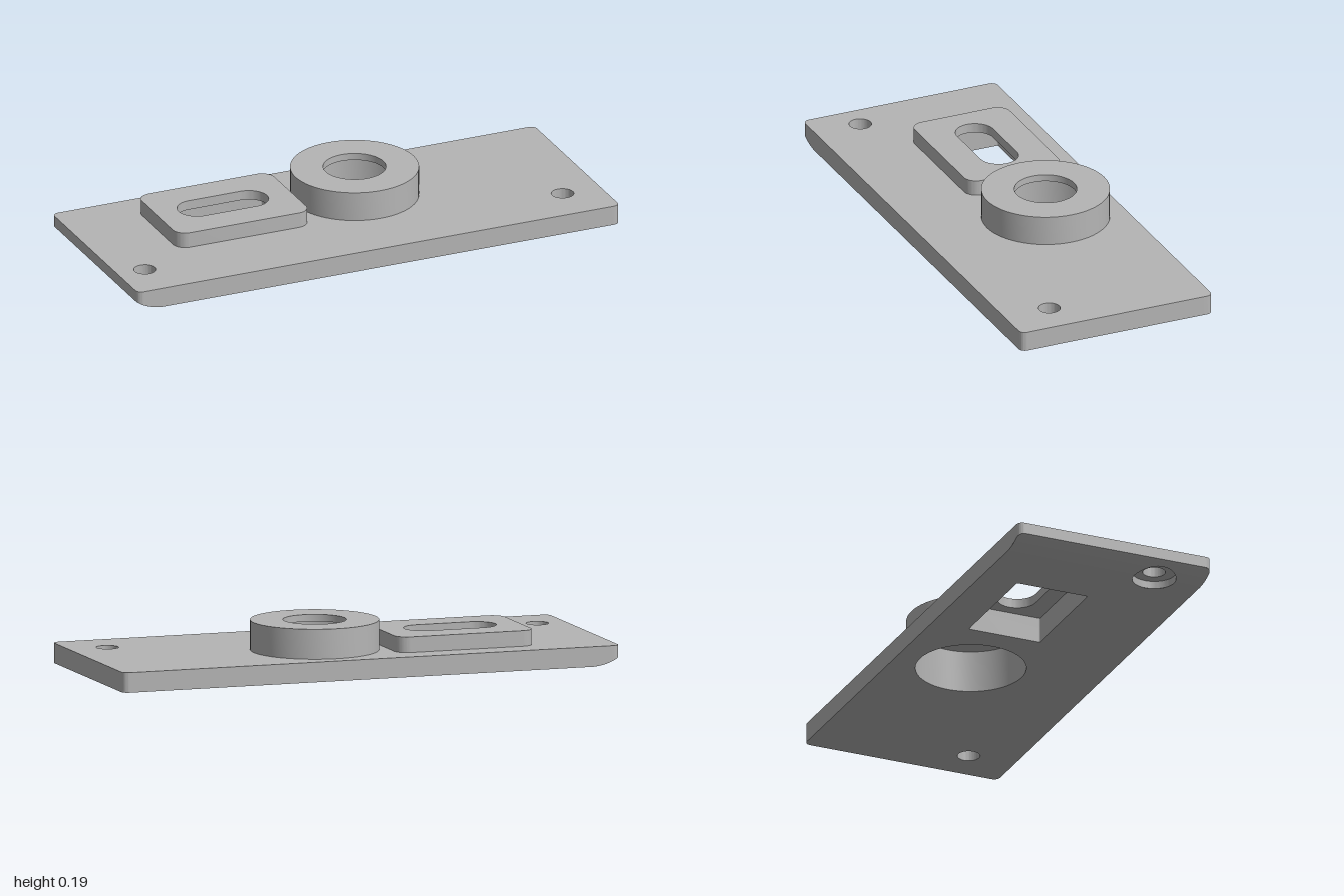
import * as THREE from 'three';
import { toCreasedNormals } from 'three/addons/utils/BufferGeometryUtils.js';

const steel = new THREE.MeshStandardMaterial({ color: 0xb5b5b5, side: THREE.DoubleSide });
steel.name = 'plain grey metal';

// Rounded rectangle in the x/z plane; a full radius gives a slot or a circle
function roundRect(x0, x1, z0, z1, r, n = 16) {
  const centres = [[x1 - r, z1 - r], [x0 + r, z1 - r], [x0 + r, z0 + r], [x1 - r, z0 + r]];
  const pts = [];
  centres.forEach(([cx, cz], k) => {
    for (let i = 0; i <= n; i++) {
      const a = (k + i / n) * Math.PI / 2;
      const p = new THREE.Vector2(cx + r * Math.cos(a), cz + r * Math.sin(a));
      if (!pts.length || p.distanceTo(pts[pts.length - 1]) > 1e-5) pts.push(p);
    }
  });
  if (pts[0].distanceTo(pts[pts.length - 1]) < 1e-5) pts.pop();
  return pts;
}
const circle = (x, z, r) => roundRect(x - r, x + r, z - r, z + r, r);

// Split long edges so that a wall can follow a curved lower edge
function densify(pts, step) {
  return pts.flatMap((p, i) => {
    const q = pts[(i + 1) % pts.length];
    const n = Math.max(1, Math.ceil(p.distanceTo(q) / step));
    return Array.from({ length: n }, (_, k) => p.clone().lerp(q, k / n));
  });
}

function add(group, name, geometry) {
  const mesh = new THREE.Mesh(geometry, steel);
  mesh.name = name;
  group.add(mesh);
}

// Flat horizontal face with holes
function face(outline, holes, y, up) {
  const shape = new THREE.Shape(outline);
  shape.holes = holes.map((h) => new THREE.Path(h));
  const g = new THREE.ShapeGeometry(shape).rotateX(Math.PI / 2).translate(0, y, 0);
  if (up) {
    g.index.array.reverse();
    g.computeVertexNormals();
  }
  return g;
}

function fromTriangles(pos) {
  const g = new THREE.BufferGeometry();
  g.setAttribute('position', new THREE.Float32BufferAttribute(pos, 3));
  return toCreasedNormals(g, 0.5);
}

// Vertical wall along an outline; the bottom height may depend on x
function wall(pts, bottom, top, inward = false) {
  const low = typeof bottom === 'function' ? bottom : () => bottom;
  const pos = [];
  pts.forEach((a, i) => {
    const b = pts[(i + 1) % pts.length];
    const [p, q] = inward ? [b, a] : [a, b];
    const p0 = [p.x, low(p.x), p.y], q0 = [q.x, low(q.x), q.y];
    const p1 = [p.x, top, p.y], q1 = [q.x, top, q.y];
    pos.push(...p0, ...q1, ...q0, ...p0, ...p1, ...q1);
  });
  return fromTriangles(pos);
}

const TOP = 0.077, PAD_TOP = 0.137, BOSS_TOP = 0.192;
const POCKET = 0.1, RECESS = 0.165, SINK = 0.03, CORNER = 0.025;
const END = -0.78; // where the shaped end of the underside meets the flat part
const SINK_X = -0.887, SINK_R = 0.083, HOLE_Z = 0.212;

// Lower edge sweeps upward at the -x end
const underside = (x) => 0.033 * Math.max(0, (-0.885 - x) / 0.115) ** 2;

// Underside of the swept end, in columns around the counterbore
function sweptEnd() {
  const pos = [], n = 88;
  const column = (i) => {
    const x = -1 + (END + 1) * i / n;
    const c = Math.max(0, CORNER - (x + 1));
    const w = 0.4 - CORNER + Math.sqrt(Math.max(0, CORNER ** 2 - c * c));
    const h = Math.sqrt(Math.max(0, SINK_R ** 2 - (x - SINK_X) ** 2));
    return { x, y: underside(x), z: [-w, HOLE_Z - h, HOLE_Z + h, w] };
  };
  for (let i = 0; i < n; i++) {
    const a = column(i), b = column(i + 1);
    for (const k of [0, 2]) {
      const a0 = [a.x, a.y, a.z[k]], a1 = [a.x, a.y, a.z[k + 1]];
      const b0 = [b.x, b.y, b.z[k]], b1 = [b.x, b.y, b.z[k + 1]];
      pos.push(...a0, ...b0, ...b1, ...a0, ...b1, ...a1);
    }
  }
  return fromTriangles(pos);
}

export function createModel() {
  const model = new THREE.Group();
  model.name = 'mountingPlate';
  const part = (name) => {
    const g = new THREE.Group();
    g.name = name;
    model.add(g);
    return g;
  };

  const outline = roundRect(-1, 1, -0.4, 0.4, CORNER);
  const padOutline = roundRect(-0.695, -0.145, -0.3, 0.095, 0.05);
  const pocket = roundRect(-0.645, -0.195, -0.25, 0.045, 0.005, 4);
  const slot = roundRect(-0.605, -0.24, -0.178, -0.028, 0.075);
  const bossOutline = circle(0.122, -0.101, 0.245);
  const recess = circle(0.122, -0.101, 0.21);
  const bore = circle(0.122, -0.101, 0.12);
  const sink = circle(SINK_X, HOLE_Z, SINK_R);
  const sinkHole = circle(SINK_X, HOLE_Z, 0.043);
  const plainHole = circle(0.845, HOLE_Z, 0.043);

  // Base plate
  const base = part('basePlate');
  add(base, 'plateTop', face(outline, [padOutline, bossOutline, sinkHole, plainHole], TOP, true));
  add(base, 'plateSides', wall(densify(outline, 0.02), underside, TOP));
  const flat = outline.map((p) => new THREE.Vector2(Math.max(p.x, END), p.y));
  add(base, 'plateUnderside', face(flat, [pocket, recess, plainHole], 0, false));
  add(base, 'sweptUnderside', sweptEnd());

  // Screw holes, one with a counterbore below
  const holes = part('screwHoles');
  add(holes, 'plainHole', wall(plainHole, 0, TOP, true));
  add(holes, 'counterboreWall', wall(sink, underside, SINK, true));
  add(holes, 'counterboreFloor', face(sink, [sinkHole], SINK, false));
  add(holes, 'counterboredHole', wall(sinkHole, SINK, TOP, true));

  // Raised hollow features: slotted pad and round boss
  const features = [
    ['slottedPad', padOutline, slot, pocket, PAD_TOP, POCKET],
    ['roundBoss', bossOutline, bore, recess, BOSS_TOP, RECESS],
  ];
  for (const [name, outer, opening, cavity, top, ceiling] of features) {
    const g = part(name);
    add(g, 'rim', face(outer, [opening], top, true));
    add(g, 'outerWall', wall(outer, TOP, top));
    add(g, 'openingWall', wall(opening, ceiling, top, true));
    add(g, 'cavityCeiling', face(cavity, [opening], ceiling, false));
    add(g, 'cavityWall', wall(cavity, 0, ceiling, true));
  }
  return model;
}
